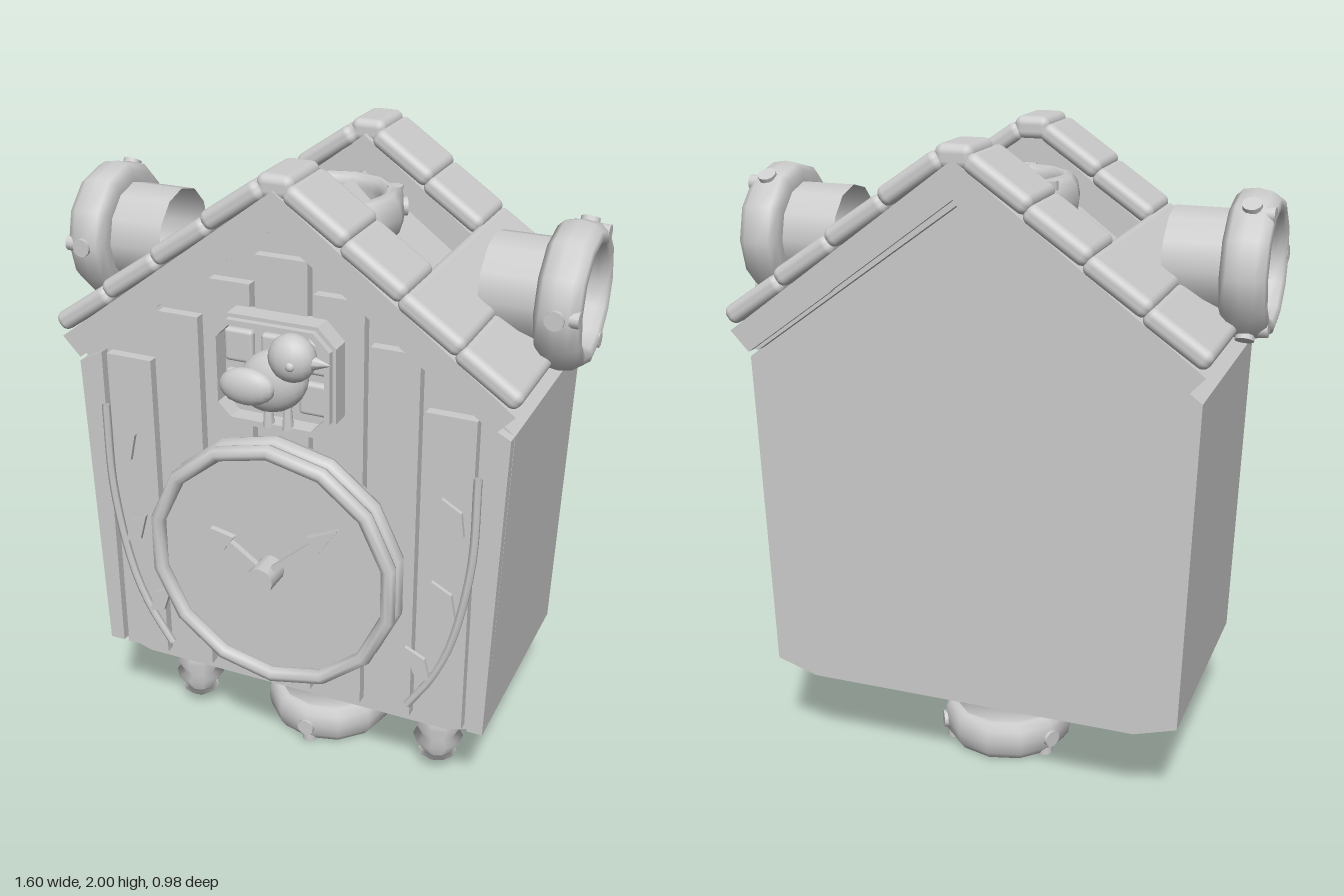
import * as THREE from 'three';
import { RoundedBoxGeometry } from 'three/addons/geometries/RoundedBoxGeometry.js';

const grey = new THREE.MeshStandardMaterial({ color: 0xcccccc });
grey.name = 'plainGrey';
grey.side = THREE.DoubleSide;

const SLOPE = 0.75;
const PITCH = Math.atan(SLOPE);

function add(parent, name, geometry, x = 0, y = 0, z = 0) {
  const mesh = new THREE.Mesh(geometry, grey);
  mesh.name = name;
  mesh.position.set(x, y, z);
  parent.add(mesh);
  return mesh;
}

// Flat outline in x, y pushed from z0 to z1
function slab(parent, name, points, z0, z1, holes = []) {
  const shape = new THREE.Shape(points.map(p => new THREE.Vector2(...p)));
  for (const h of holes) shape.holes.push(new THREE.Path(h.map(p => new THREE.Vector2(...p))));
  const geo = new THREE.ExtrudeGeometry(shape, { depth: z1 - z0, bevelEnabled: false });
  return add(parent, name, geo, 0, 0, z0);
}

function ellipsoid(parent, name, pos, size, turn = 0) {
  const mesh = add(parent, name, new THREE.SphereGeometry(1, 16, 12), ...pos);
  mesh.scale.set(...size);
  mesh.rotation.z = turn;
  return mesh;
}

function lathe(points, sides) {
  return new THREE.LatheGeometry(points.map(p => new THREE.Vector2(...p)), sides);
}

// Short pipe along +y with a rounded flange and three bolts
function makePipe(name, neck, capDepth) {
  const pipe = new THREE.Group();
  pipe.name = name;
  add(pipe, 'pipeNeck', lathe(neck, 12));
  add(pipe, 'pipeFlange', lathe([[0.15, 0], [0.19, 0], [0.21, 0.02], [0.215, 0.06], [0.208, 0.1],
    [0.19, 0.125], [0.17, 0.13], [0.152, 0.12], [0.145, 0.095], [0.145, 0]], 12));
  if (capDepth !== null) {
    add(pipe, 'pipeCap', new THREE.CircleGeometry(0.15, 12), 0, capDepth, 0).rotation.x = -Math.PI / 2;
  }
  for (let i = 0; i < 3; i++) {
    const a = i * Math.PI * 2 / 3;
    const bolt = add(pipe, 'flangeBolt', new THREE.CylinderGeometry(0.028, 0.028, 0.05, 12),
      Math.sin(a) * 0.195, 0.065, Math.cos(a) * 0.195);
    bolt.rotation.set(Math.PI / 2, 0, 0);
    bolt.rotation.order = 'YXZ';
    bolt.rotation.y = a;
    add(pipe, 'flangeStud', new THREE.CylinderGeometry(0.024, 0.024, 0.04, 12),
      Math.sin(a) * 0.183, 0.108, Math.cos(a) * 0.183);
  }
  return pipe;
}

function makeRoof() {
  const roof = new THREE.Group();
  roof.name = 'roof';
  // Barge boards front and back, and their inner trim
  const chevron = [[0, 1.96], [-0.70, 1.435], [-0.645, 1.376], [0, 1.855], [0.645, 1.376], [0.70, 1.435]];
  slab(roof, 'frontBargeBoard', chevron, 0.16, 0.355);
  slab(roof, 'backBargeBoard', chevron, -0.48, -0.28);
  const trim = [[0, 1.9], [-0.66, 1.405], [-0.63, 1.375], [0, 1.835], [0.63, 1.375], [0.66, 1.405]];
  slab(roof, 'frontTrim', trim, 0.27, 0.335);
  slab(roof, 'backTrim', trim, -0.455, -0.4);
  for (const s of [-1, 1]) {
    slab(roof, 'eaveBoard', [[0.37, 1.6825], [0.70, 1.435], [0.645, 1.376], [0.37, 1.5775]]
      .map(([x, y]) => [x * s, y]), -0.48, 0.355);
    // Upper tiles stand on the barge boards, lower tiles span the depth
    for (let i = 0; i < 4; i++) {
      const x = 0.125 + i * 0.165;
      const rows = i < 2 ? [[0.255, 0.22], [-0.378, 0.224]] : [[-0.062, 0.855]];
      for (const [z, width] of rows) {
        const tile = add(roof, 'roofTile', new RoundedBoxGeometry(0.216, 0.058, width, 3, 0.024),
          s * x, 1.996 - SLOPE * x, z);
        tile.rotation.z = -s * (PITCH - 0.045);
      }
    }
  }
  for (const [z, w] of [[0.25, 0.2], [-0.39, 0.18]]) {
    add(roof, 'ridgeCap', new RoundedBoxGeometry(0.11, 0.07, w, 3, 0.025), 0, 1.965, z);
  }
  return roof;
}

function makeClock() {
  const clock = new THREE.Group();
  clock.name = 'clockDial';
  clock.position.set(0, 0.83, 0);
  const face = add(clock, 'dialFace', new THREE.CylinderGeometry(0.385, 0.385, 0.095, 14), 0, 0, 0.3525);
  face.rotation.x = Math.PI / 2;
  for (const [z, tube] of [[0.41, 0.024], [0.35, 0.03]]) {
    const ring = add(clock, 'dialRing', new THREE.TorusGeometry(0.408 - tube, tube, 8, 14), 0, 0, z);
    ring.rotation.z = Math.PI / 14;
  }
  // Spear-shaped hands
  for (const [name, length, angle] of [['hourHand', 0.21, 2.54], ['minuteHand', 0.31, 0.715]]) {
    const b = length * 0.66;
    const hand = slab(clock, name, [[0, -0.01], [b, -0.01], [b, -0.03], [length, 0], [b, 0.03], [b, 0.01], [0, 0.01]],
      0.436, 0.455);
    hand.rotation.z = angle;
  }
  const hub = add(clock, 'handHub', new THREE.CylinderGeometry(0.042, 0.042, 0.085, 12), 0, -0.004, 0.4445);
  hub.rotation.x = Math.PI / 2;
  return clock;
}

function makeBirdWindow() {
  const win = new THREE.Group();
  win.name = 'birdWindow';
  win.position.set(0, 1.435, 0);
  const octagon = (w, h, c) => [[-w, -h + c], [-w + c, -h], [w - c, -h], [w, -h + c],
    [w, h - c], [w - c, h], [-w + c, h], [-w, h - c]];
  // Frame, back plate and four panes
  slab(win, 'windowFrame', octagon(0.193, 0.168, 0.055), 0.3, 0.37, [octagon(0.172, 0.147, 0.045)]);
  slab(win, 'windowInnerFrame', octagon(0.182, 0.157, 0.05), 0.3, 0.39, [octagon(0.165, 0.14, 0.04)]);
  slab(win, 'windowBack', octagon(0.18, 0.155, 0.05), 0.3, 0.335);
  for (const x of [-0.115, 0, 0.115]) {
    for (const y of [-0.06, 0.065]) {
      add(win, 'windowPane', new RoundedBoxGeometry(0.09, 0.1, 0.03, 2, 0.012), x, y, 0.34);
    }
  }
  // Perched bird
  const bird = new THREE.Group();
  bird.name = 'bird';
  win.add(bird);
  ellipsoid(bird, 'birdBody', [0.015, 0, 0.395], [0.11, 0.09, 0.06], 0.55);
  ellipsoid(bird, 'birdHead', [0.085, 0.09, 0.42], [0.07, 0.07, 0.055]);
  ellipsoid(bird, 'birdWing', [-0.04, -0.005, 0.45], [0.085, 0.055, 0.036], 0.05);
  ellipsoid(bird, 'birdEye', [0.1, 0.085, 0.468], [0.014, 0.014, 0.012]);
  const beak = add(bird, 'birdBeak', new THREE.ConeGeometry(0.028, 0.07, 8), 0.165, 0.085, 0.42);
  beak.rotation.z = -Math.PI / 2;
  for (const x of [-0.01, 0.05]) {
    add(bird, 'birdLeg', new THREE.CylinderGeometry(0.012, 0.018, 0.07, 8), x, -0.115, 0.38);
  }
  return win;
}

// Curved twig with three leaves, for the model's left; mirrored for the right
function makeBranch(s) {
  const branch = new THREE.Group();
  branch.name = s > 0 ? 'leftBranch' : 'rightBranch';
  const path = new THREE.CatmullRomCurve3([[0.595, 1.21], [0.59, 0.93], [0.54, 0.65], [0.485, 0.51], [0.41, 0.39]]
    .map(([x, y]) => new THREE.Vector3(x * s, y, 0.315)));
  add(branch, 'twig', new THREE.TubeGeometry(path, 16, 0.013, 6));
  for (const [x, y, turn] of [[0.565, 1.02, 0], [0.55, 0.745, 0.05], [0.48, 0.5, 0.1]]) {
    const leaf = slab(branch, 'leaf', [[0, 0], [-0.05 * s, 0.02], [-0.07 * s, 0.11], [-0.01 * s, 0.075]], 0.312, 0.325);
    leaf.position.x = x * s;
    leaf.position.y = y;
    leaf.rotation.z = turn * s;
  }
  return branch;
}

export function createModel() {
  const model = new THREE.Group();
  model.name = 'birdClock';

  // House body with gable
  slab(model, 'houseBody', [[-0.52, 0.30], [0.52, 0.30], [0.65, 0.34], [0.68, 1.34], [0, 1.85],
    [-0.68, 1.34], [-0.65, 0.34]], -0.41, 0.275);

  // Front planks with stepped tops
  slab(model, 'centrePlank', [[-0.08, 0.34], [0.08, 0.34], [0.08, 1.76], [-0.08, 1.76]], 0.27, 0.308);
  const planks = [[0.098, 0.25, 1.67], [0.268, 0.415, 1.545], [0.433, 0.583, 1.38]];
  for (const s of [-1, 1]) {
    for (const [a, b, top] of planks) {
      slab(model, 'frontPlank', [[a * s, 0.34], [b * s, 0.34], [b * s, top], [a * s, top]], 0.27, 0.308);
    }
    slab(model, 'edgePlank', [[0.601 * s, 0.34], [0.65 * s, 0.34], [0.679 * s, 1.34], [0.601 * s, 1.38]], 0.27, 0.308);
    model.add(makeBranch(s));

    // Hanging pine cone weights
    add(model, 'pineCone', lathe([[0, 0.01], [0.062, 0.06], [0.045, 0.065], [0.082, 0.12], [0.055, 0.13],
      [0.085, 0.19], [0.058, 0.2], [0.073, 0.235], [0.055, 0.26], [0, 0.275]], 10), 0.44 * s, 0, 0.09);
    add(model, 'chain', new THREE.CylinderGeometry(0.01, 0.01, 0.07, 6), 0.44 * s, 0.29, 0.09);

    // Side pipes
    const side = makePipe(s > 0 ? 'leftPipe' : 'rightPipe', [[0.155, -0.17], [0.155, 0.02]], 0.05);
    side.position.set(0.67 * s, 1.645, -0.045);
    side.rotation.z = -s * Math.PI / 2;
    model.add(side);
  }

  // Top and bottom pipes
  const top = makePipe('topPipe', [[0.155, -0.1], [0.155, 0.02]], null);
  top.position.set(0, 1.735, -0.045);
  model.add(top);
  const bottom = makePipe('bottomPipe', [[0.2, -0.18], [0.192, -0.13], [0.172, -0.07], [0.165, -0.02], [0.18, 0.01]], 0.04);
  bottom.position.set(0, 0.13, -0.045);
  bottom.rotation.z = Math.PI;
  model.add(bottom);

  model.add(makeRoof(), makeClock(), makeBirdWindow());
  return model;
}
